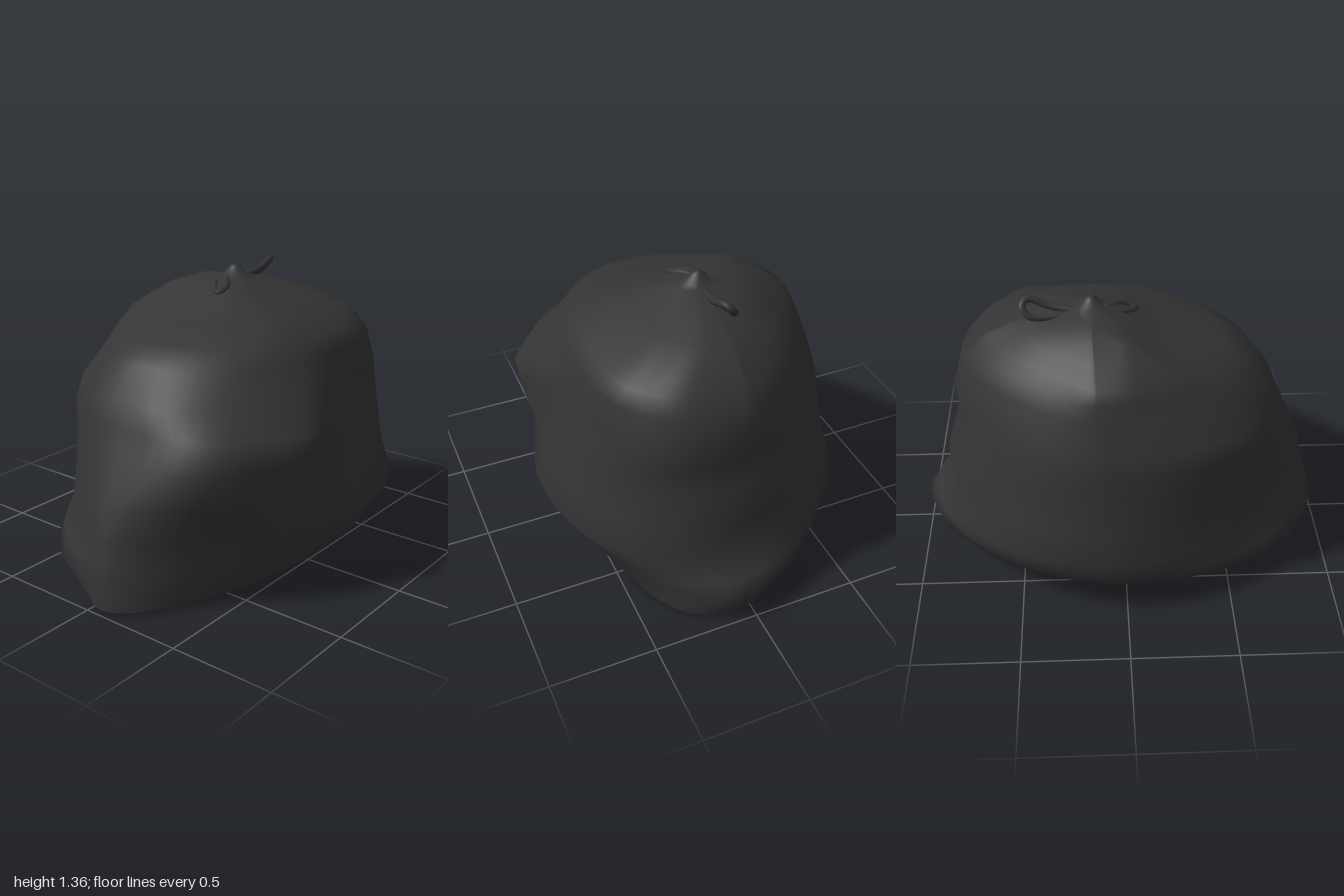
import * as THREE from 'three';

const SEGMENTS = 64;

// Height, reach to -x, +x, -z, +z, then diagonal reach to (+x+z), (-x+z), (-x-z), (+x-z)
const LEVELS = [
  [0.02, -0.99, 0.95, -0.47, 0.51, 1.17, 1.12, 1.00, 1.00],
  [0.15, -0.98, 1.00, -0.68, 0.64, 1.18, 1.10, 1.19, 1.13],
  [0.22, -0.96, 0.95, -0.73, 0.68, 1.20, 1.08, 1.14, 1.17],
  [0.32, -0.93, 0.85, -0.73, 0.73, 1.20, 1.08, 1.08, 1.18],
  [0.48, -0.89, 0.87, -0.71, 0.67, 1.15, 1.14, 1.05, 1.12],
  [0.66, -0.80, 0.81, -0.67, 0.635, 1.10, 1.18, 1.03, 1.06],
  [0.78, -0.75, 0.79, -0.67, 0.58, 1.09, 1.08, 1.03, 1.02],
  [0.88, -0.71, 0.80, -0.645, 0.56, 1.08, 0.93, 0.99, 0.98],
  [1.03, -0.61, 0.76, -0.59, 0.54, 1.02, 0.79, 0.82, 0.90],
  [1.10, -0.47, 0.69, -0.56, 0.47, 0.95, 0.66, 0.73, 0.82],
  [1.16, -0.29, 0.63, -0.53, 0.38, 0.85, 0.46, 0.63, 0.73],
  [1.22, -0.14, 0.52, -0.43, 0.23, 0.62, 0.25, 0.48, 0.62],
  [1.27, -0.03, 0.36, -0.34, 0.10, 0.37, 0.06, 0.35, 0.50],
  [1.30, 0.04, 0.23, -0.25, 0.03, 0.21, -0.06, 0.17, 0.38],
  [1.31, 0.09, 0.20, -0.13, 0.00, 0.165, -0.12, 0.01, 0.295],
  [1.35, 0.12, 0.17, -0.09, -0.04, 0.115, -0.175, -0.045, 0.245],
];

// Roundness of a quarter outline with half axes a and b that reaches d along its diagonal
function quarterPower(a, b, d) {
  let low = 1.05, high = 8;
  for (let i = 0; i < 24; i++) {
    const q = (low + high) / 2;
    if ((a ** q + b ** q) ** (1 / q) > d) low = q;
    else high = q;
  }
  return (2 * (low - 1)) / low;
}

// One horizontal outline built from four quarters
function outline([y, xMin, xMax, zMin, zMax, ...diagonals]) {
  const t = y / 1.35;
  const cx = THREE.MathUtils.lerp(0.03, 0.145, t);
  const cz = THREE.MathUtils.lerp(0.08, -0.065, t);
  const quarters = diagonals.map((d, i) => {
    const sx = i === 0 || i === 3 ? 1 : -1, sz = i < 2 ? 1 : -1;
    const a = (sx > 0 ? xMax : xMin) - cx, b = (sz > 0 ? zMax : zMin) - cz;
    return { a, b, power: quarterPower(Math.abs(a), Math.abs(b), d - sx * cx - sz * cz) };
  });
  const points = [];
  for (let j = 0; j < SEGMENTS; j++) {
    const angle = (j / SEGMENTS) * Math.PI * 2;
    const { a, b, power } = quarters[Math.floor((j * 4) / SEGMENTS)];
    const c = Math.abs(Math.cos(angle)), s = Math.abs(Math.sin(angle));
    // Pleats gathered below the knot
    const pleat = 1 + 0.05 * Math.exp(-(((y - 1.18) / 0.1) ** 2)) * Math.sin(7 * angle) * s * c;
    const x = cx + a * c ** power * pleat;
    let z = cz + b * s ** power * pleat;
    // Bulge on the upper front
    if (b > 0) z += 0.14 * s * Math.exp(-(((x + 0.28) / 0.22) ** 2) - ((y - 0.77) / 0.12) ** 2);
    points.push(x, y, z);
  }
  return points;
}

function sackGeometry() {
  const positions = LEVELS.flatMap(outline), index = [];
  const top = positions.length / 3, bottom = top + 1, rim = top + 2;
  positions.push(0.145, 1.36, -0.065, 0, 0, 0.08);
  // Separate rim keeps the edge of the base sharp
  positions.push(...outline(LEVELS[0]));

  const last = (LEVELS.length - 1) * SEGMENTS;
  for (let j = 0; j < SEGMENTS; j++) {
    const k = (j + 1) % SEGMENTS;
    for (let i = 0; i < last; i += SEGMENTS) {
      const up = i + SEGMENTS;
      index.push(i + j, up + j, i + k, i + k, up + j, up + k);
    }
    index.push(bottom, rim + j, rim + k, top, last + k, last + j);
  }
  const geometry = new THREE.BufferGeometry();
  geometry.setAttribute('position', new THREE.Float32BufferAttribute(positions, 3));
  geometry.setIndex(index);
  geometry.computeVertexNormals();
  return geometry;
}

function loopGeometry(points) {
  const path = new THREE.CatmullRomCurve3(points.map((p) => new THREE.Vector3(...p)), true);
  return new THREE.TubeGeometry(path, 32, 0.017, 8, true);
}

export function createModel() {
  const group = new THREE.Group();
  group.name = 'tiedBag';
  const plastic = new THREE.MeshStandardMaterial({ color: 0x343434 });
  plastic.name = 'blackPlastic';

  const add = (name, geometry) => {
    const mesh = new THREE.Mesh(geometry, plastic);
    mesh.name = name;
    group.add(mesh);
  };

  // Slumped sack, gathered to a point
  add('sack', sackGeometry());

  // Drawstring loops on both sides of the gathered top
  add('leftStringLoop', loopGeometry([
    [0.21, 1.28, -0.08], [0.33, 1.275, -0.105], [0.42, 1.285, -0.115],
    [0.455, 1.325, -0.09], [0.43, 1.345, -0.06], [0.34, 1.31, -0.06],
  ]));
  add('rightStringLoop', loopGeometry([
    [0.09, 1.29, -0.08], [0.01, 1.28, -0.08], [-0.035, 1.26, -0.045],
    [-0.055, 1.26, -0.005], [-0.01, 1.28, 0.0], [0.05, 1.295, -0.04],
  ]));
  return group;
}
